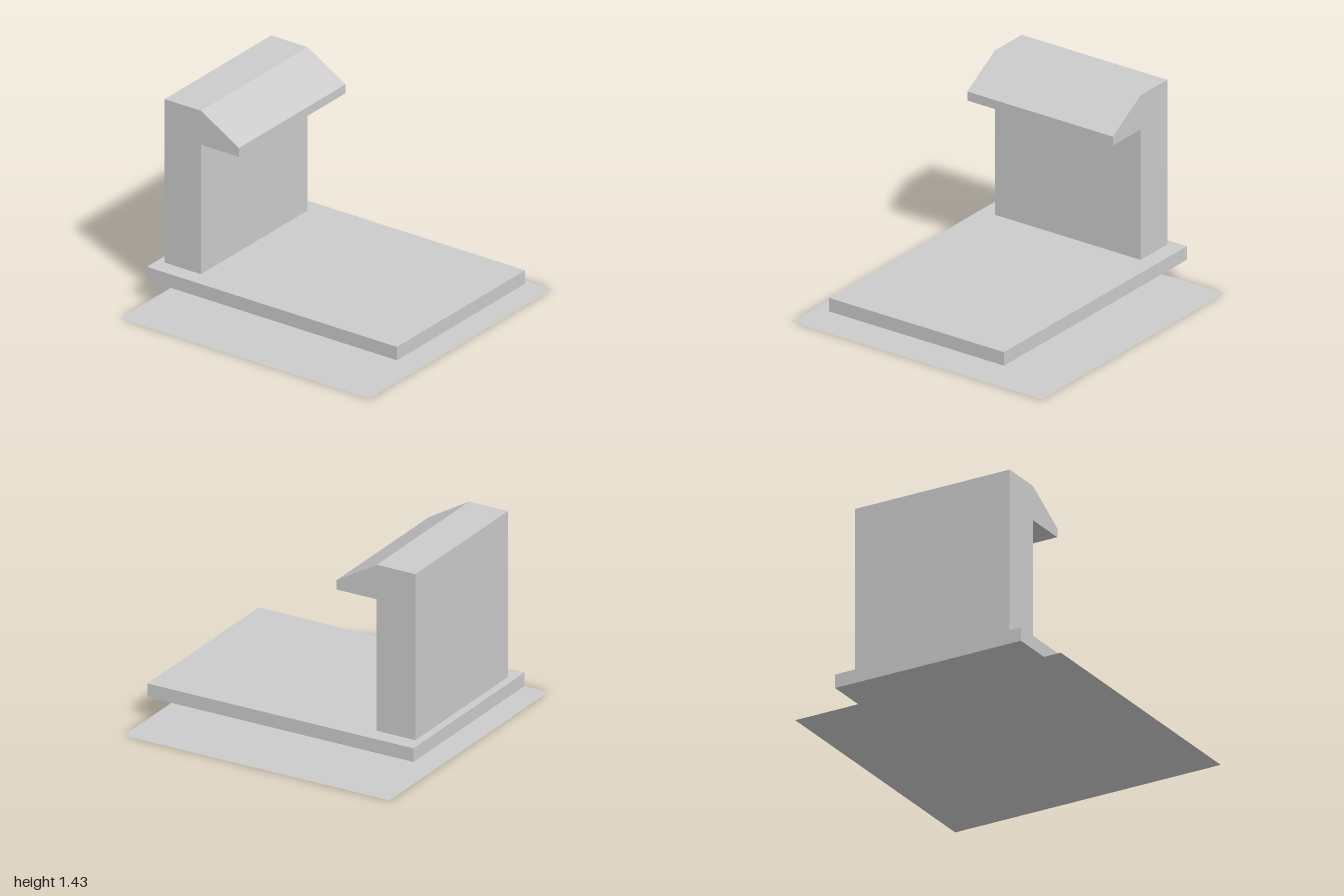
import * as THREE from 'three';

export function createModel() {
  const model = new THREE.Group();
  const material = new THREE.MeshStandardMaterial({ color: 0xcccccc, flatShading: true });
  const thinMaterial = material.clone();
  thinMaterial.side = THREE.DoubleSide;

  const add = (name, geometry, mat = material) => {
    const mesh = new THREE.Mesh(geometry, mat);
    mesh.name = name;
    model.add(mesh);
    return mesh;
  };

  // Thin square sheet on the ground
  add('groundSheet', new THREE.PlaneGeometry(2, 2).rotateX(-Math.PI / 2), thinMaterial);

  // Slab floating above the sheet
  const bottom = 0.157, top = 0.253;
  add('baseSlab', new THREE.BoxGeometry(1.4, top - bottom, 2)).position.y = (bottom + top) / 2;

  // Upright wall with an overhanging sloped lip: side profile as (z, y), extruded along x
  const width = 1.164;
  const profile = new THREE.Shape([
    [-0.945, top], [-0.654, top], [-0.654, 1.182], [-0.35, 1.182],
    [-0.35, 1.246], [-0.654, 1.426], [-0.945, 1.426],
  ].map(([z, y]) => new THREE.Vector2(z, y)));
  const wall = new THREE.ExtrudeGeometry(profile, { depth: width, bevelEnabled: false });
  wall.translate(0, 0, -width / 2).rotateY(-Math.PI / 2);
  add('hookedWall', wall);

  return model;
}
